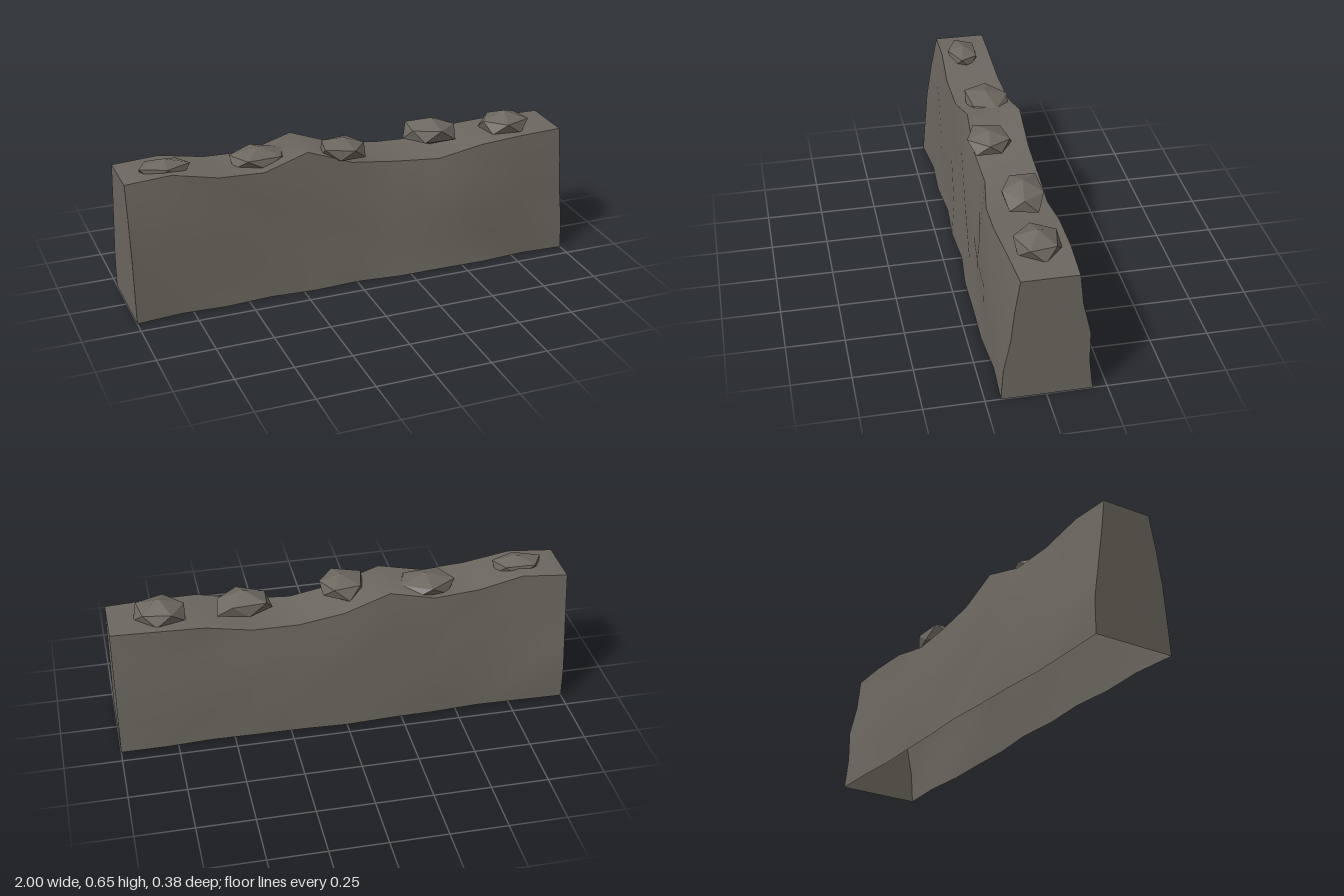
import * as THREE from 'three';

const stone = new THREE.MeshStandardMaterial({ color: 0x6c675f, side: THREE.DoubleSide });
stone.name = 'stone';

// Outline of the wall at each station, 0.2 apart along x
const top = [0.605, 0.62, 0.58, 0.57, 0.625, 0.55, 0.52, 0.515, 0.555, 0.562, 0.562];
const frontTop = [0.105, 0.11, 0.12, 0.115, 0.097, 0.105, 0.095, 0.128, 0.138, 0.125, 0.11];
const backTop = [0.12, 0.112, 0.12, 0.13, 0.14, 0.138, 0.14, 0.132, 0.135, 0.135, 0.125];
const frontBase = [0.185, 0.166, 0.176, 0.162, 0.176, 0.166, 0.186, 0.186, 0.19, 0.176, 0.186];
const backBase = [0.18, 0.175, 0.17, 0.182, 0.185, 0.195, 0.186, 0.184, 0.18, 0.19, 0.19];
const ROWS = 4;

// Repeatable noise from -1 to 1
function noise(a, b, c = 0) {
  const s = Math.sin(a * 127.1 + b * 311.7 + c * 74.7) * 43758.5453;
  return (s - Math.floor(s)) * 2 - 1;
}

// Point on the rough, battered face; side is 1 for front, -1 for back
function wallPoint(i, j, side) {
  const t = j / ROWS;
  const base = (side > 0 ? frontBase : backBase)[i];
  const crest = (side > 0 ? frontTop : backTop)[i];
  let z = THREE.MathUtils.lerp(base, crest, t);
  if (j > 0 && j < ROWS) z += 0.006 + 0.011 * noise(i, j, side);
  return [-1 + i * 0.2, top[i] * t, side * z];
}

// Grid surface from a rule point(u, v)
function grid(name, nu, nv, point, flip = false) {
  const pos = [], index = [];
  for (let u = 0; u <= nu; u++) for (let v = 0; v <= nv; v++) pos.push(...point(u, v));
  for (let u = 0; u < nu; u++) {
    for (let v = 0; v < nv; v++) {
      const a = u * (nv + 1) + v, b = a + nv + 1;
      if (flip) index.push(a, a + 1, b, b, a + 1, b + 1);
      else index.push(a, b, a + 1, b, b + 1, a + 1);
    }
  }
  const g = new THREE.BufferGeometry();
  g.setAttribute('position', new THREE.Float32BufferAttribute(pos, 3));
  g.setIndex(index);
  g.computeVertexNormals();
  const mesh = new THREE.Mesh(g, stone);
  mesh.name = name;
  return mesh;
}

// Faceted boulder fitted into a box, turned so that its facets vary
function boulder(seed, min, max, turn) {
  const g = new THREE.IcosahedronGeometry(1, 0);
  const p = g.attributes.position;
  const v = new THREE.Vector3();
  for (let i = 0; i < p.count; i++) {
    v.fromBufferAttribute(p, i);
    const k = 1 + 0.12 * noise(Math.round(v.x * 10), Math.round(v.y * 10), Math.round(v.z * 10) + seed);
    p.setXYZ(i, v.x * k, v.y * k, v.z * k);
  }
  g.rotateZ(0.5536);
  g.rotateY(turn);
  g.computeBoundingBox();
  const size = g.boundingBox.getSize(new THREE.Vector3());
  const mid = g.boundingBox.getCenter(new THREE.Vector3());
  g.translate(-mid.x, -mid.y, -mid.z);
  g.scale(...max.map((m, i) => (m - min[i]) / size.getComponent(i)));
  g.translate(...max.map((m, i) => (m + min[i]) / 2));
  g.computeVertexNormals();
  const mesh = new THREE.Mesh(g, stone);
  mesh.name = 'boulder' + seed;
  return mesh;
}

export function createModel() {
  const model = new THREE.Group();
  model.name = 'stoneWall';

  // Hollow wall, open underneath
  const wall = new THREE.Group();
  wall.name = 'wall';
  const n = top.length - 1;
  wall.add(
    grid('frontFace', n, ROWS, (i, j) => wallPoint(i, j, 1)),
    grid('backFace', n, ROWS, (i, j) => wallPoint(i, j, -1), true),
    grid('wallTop', n, 1, (i, s) => wallPoint(i, ROWS, s ? -1 : 1)),
    grid('leftEnd', 1, ROWS, (s, j) => wallPoint(n, j, s ? -1 : 1)),
    grid('rightEnd', 1, ROWS, (s, j) => wallPoint(0, j, s ? -1 : 1), true),
  );
  model.add(wall);

  // Boulders half sunk into the crest
  const boulders = new THREE.Group();
  boulders.name = 'boulders';
  boulders.add(
    boulder(1, [-0.92, 0.55, -0.06], [-0.70, 0.655, 0.08], 0.3),
    boulder(2, [-0.51, 0.53, -0.12], [-0.26, 0.635, 0.07], 1.0),
    boulder(3, [-0.12, 0.535, -0.07], [0.075, 0.643, 0.135], 0.5),
    boulder(4, [0.295, 0.522, -0.105], [0.54, 0.65, 0.07], 1.7),
    boulder(5, [0.67, 0.53, -0.10], [0.89, 0.64, 0.09], 0.1),
  );
  model.add(boulders);
  return model;
}
